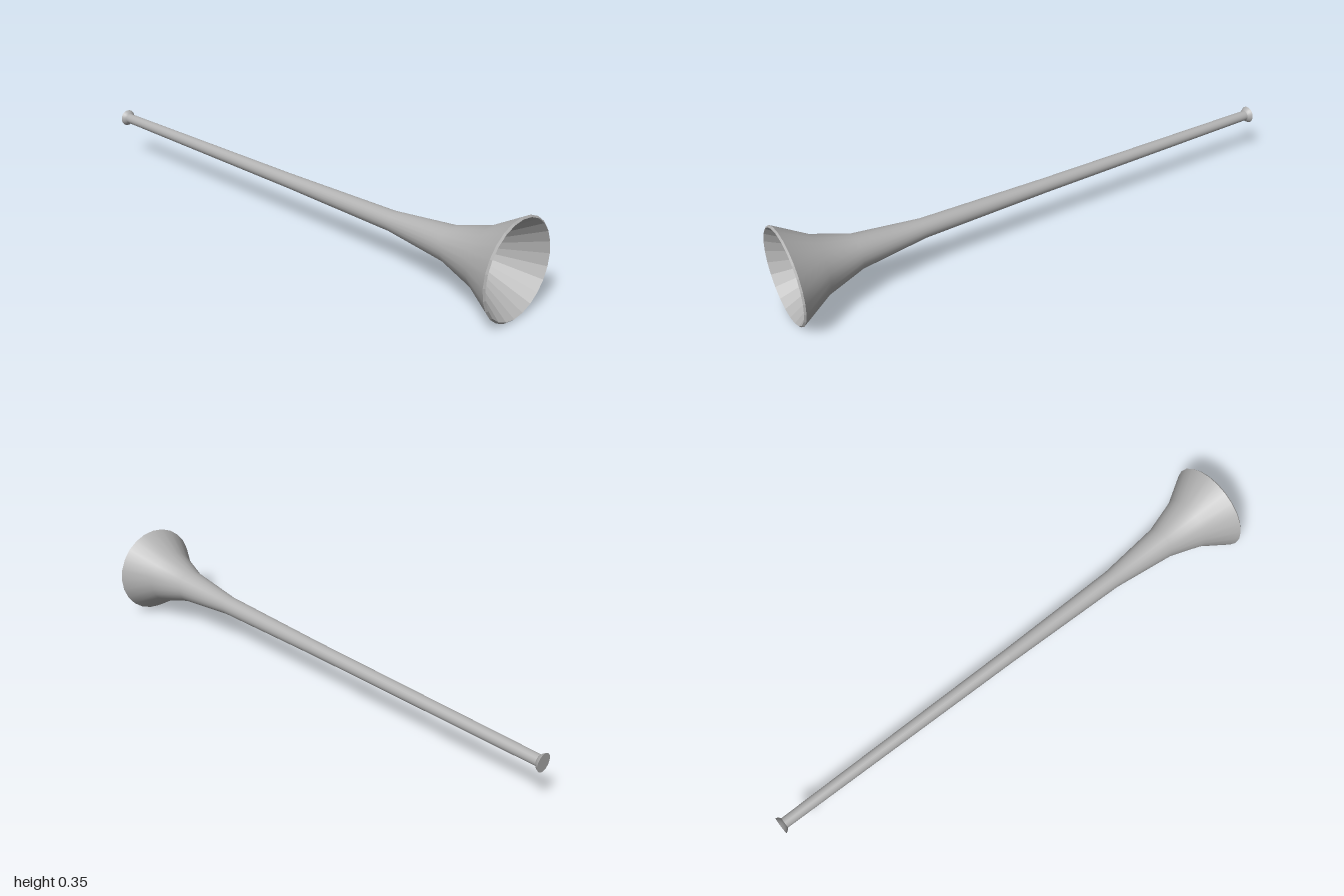
import * as THREE from 'three';

const SIDES = 24;
const AXIS_Y = 0.175;

// Revolve [radius, z] points around the z axis; points run from back to front on outer faces
function revolve(points, flat) {
  let geo = new THREE.LatheGeometry(points.map(([r, z]) => new THREE.Vector2(r, z)), SIDES);
  geo.rotateX(Math.PI / 2);
  if (flat) {
    geo = geo.toNonIndexed();
    geo.computeVertexNormals();
  }
  return geo;
}

export function createModel() {
  const group = new THREE.Group();
  group.name = 'horn';
  const metal = new THREE.MeshStandardMaterial({ color: 0xb2b2b2 });
  metal.name = 'grey metal';

  const add = (name, points, flat = false) => {
    const mesh = new THREE.Mesh(revolve(points, flat), metal);
    mesh.name = name;
    mesh.position.y = AXIS_Y;
    group.add(mesh);
  };

  // Long tapering tube that flares into the bell
  add('tubeAndBell', [
    [0.02, -0.986], [0.027, 0], [0.036, 0.5], [0.063, 0.745], [0.106, 0.88], [0.174, 0.994],
  ]);
  // Narrow chamfered lip around the mouth of the bell
  add('bellLip', [[0.174, 0.994], [0.168, 1]], true);
  // Faceted hollow inside the bell
  add('bellInside', [[0.168, 1], [0, 0.75]], true);
  // Small flared mouthpiece and its flat end
  add('mouthpiece', [[0.033, -1], [0.027, -0.99], [0.02, -0.984]]);
  add('mouthpieceEnd', [[0, -1], [0.033, -1]], true);

  return group;
}
